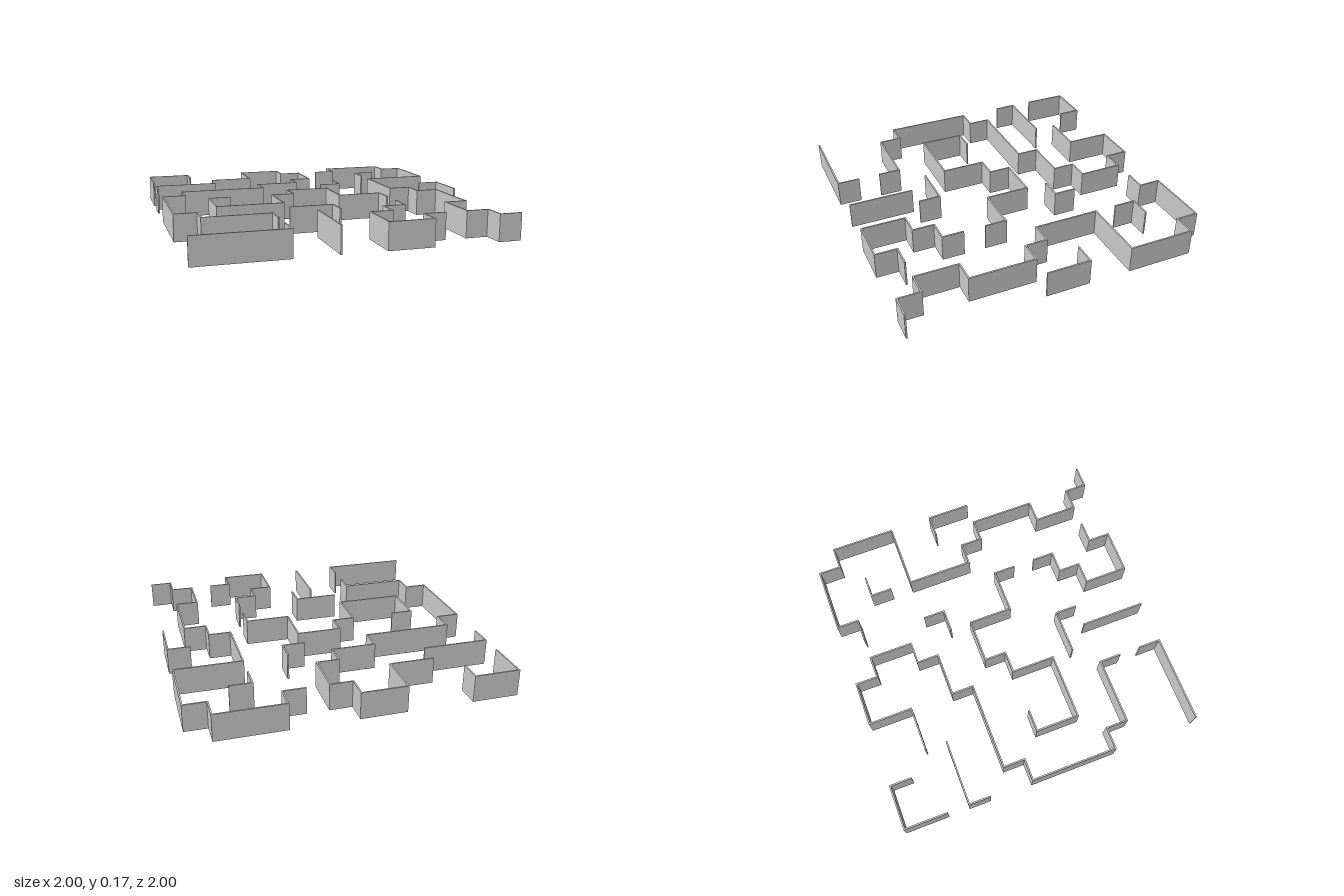
import * as THREE from 'three';

const PITCH = 0.1421, THICK = 0.01, HEIGHT = 0.172;

// Wall runs as [x, z] corners on a 14 x 14 cell grid
const RUNS = {
  backRightCornerWall: [[-7, -5], [-7, -7], [-5, -7], [-5, -6]],
  longRightWall: [[-4, -5], [-2, -5], [-2, -7], [0, -7], [0, -6], [1, -6], [1, -4], [0, -4], [0, -3], [-2, -3],
    [-2, -2], [-6, -2], [-6, -1], [-7, -1], [-7, 3], [-6, 3], [-6, 4], [-3, 4], [-3, 5]],
  rightHookWall: [[-7, -3], [-7, -4], [-4, -4]],
  longLeftWall: [[2, -6], [3, -6], [3, -7], [6, -7], [6, -6], [7, -6], [7, -3], [4, -3], [4, 0], [5, 0],
    [5, 1], [6, 1], [6, 4], [5, 4], [5, 6], [6, 6], [6, 7], [7, 7]],
  backLeftHookWall: [[4, -4], [4, -5], [5, -5]],
  innerHookWall: [[1, -2], [2, -2], [2, -3]],
  leftHookWall: [[6, -1], [7, -1], [7, 1]],
  centreWall: [[-4, 0], [-5, 0], [-5, 2], [-2, 2], [-2, 0], [-1, 0], [-1, -1], [1, -1], [1, 1], [3, 1], [3, 2]],
  frontHookWall: [[-2, 3], [0, 3], [0, 4]],
  frontSteppedWall: [[3, 3], [3, 4], [2, 4], [2, 5], [1, 5], [1, 7], [3, 7], [3, 6], [4, 6]],
  frontStraightWall: [[-1, 4], [-1, 7]],
  frontRightCornerWall: [[-7, 7], [-3, 7], [-3, 6]],
};

// Thin upright wall with mitred right-angle corners
function wallGeometry(run) {
  const pts = run.map(([x, z]) => new THREE.Vector2(x * PITCH, -z * PITCH));
  const normals = pts.slice(1).map((p, i) => {
    const d = p.clone().sub(pts[i]).normalize();
    return new THREE.Vector2(-d.y, d.x);
  });
  const side = (s) => pts.map((p, i) => {
    const n = new THREE.Vector2();
    if (i > 0) n.add(normals[i - 1]);
    if (i < normals.length) n.add(normals[i]);
    return p.clone().addScaledVector(n, s * THICK / 2);
  });
  const shape = new THREE.Shape([...side(1), ...side(-1).reverse()]);
  return new THREE.ExtrudeGeometry(shape, { depth: HEIGHT, bevelEnabled: false }).rotateX(-Math.PI / 2);
}

export function createModel() {
  const group = new THREE.Group();
  group.name = 'mazeWalls';
  const material = new THREE.MeshStandardMaterial({ color: 0xcccccc });
  for (const [name, run] of Object.entries(RUNS)) {
    const wall = new THREE.Mesh(wallGeometry(run), material);
    wall.name = name;
    group.add(wall);
  }
  return group;
}
